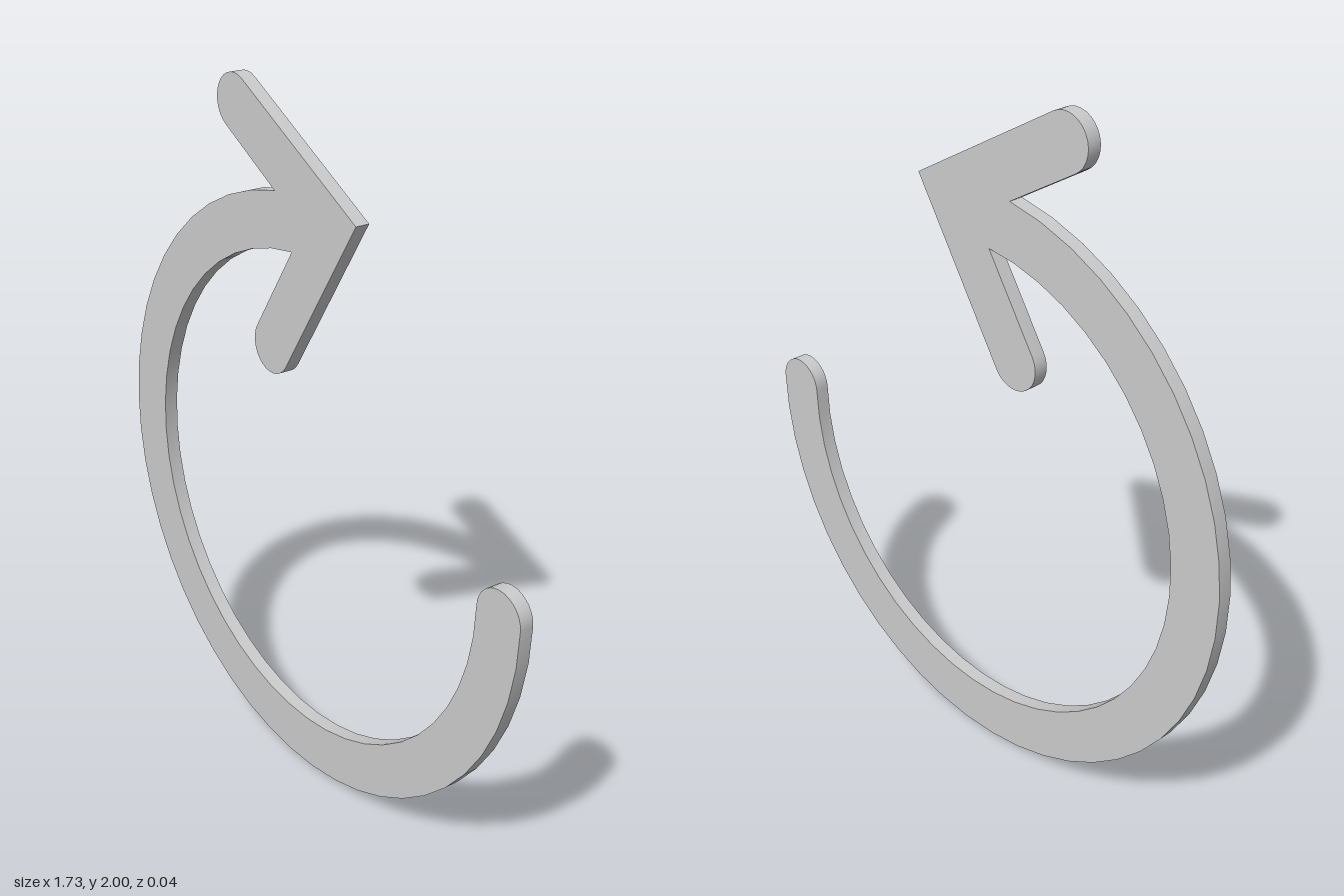
import * as THREE from 'three';
import { toCreasedNormals } from 'three/addons/utils/BufferGeometryUtils.js';

const OUTER = 0.866, INNER = 0.71;
const CENTER_Y = OUTER;
const CAP = (OUTER - INNER) / 2;
const DEPTH = 0.042;

// points along an arc, angles in degrees
function arc(x, y, r, from, to, segments) {
  return Array.from({ length: segments + 1 }, (_, i) => {
    const a = THREE.MathUtils.degToRad(from + (to - from) * i / segments);
    return new THREE.Vector2(x + r * Math.cos(a), y + r * Math.sin(a));
  });
}

// rounded end of a bar that points in the given direction
const roundEnd = (x, y, direction) => arc(x, y, CAP, direction - 90, direction + 90, 14);

export function createModel() {
  const outline = [
    // ring: outer edge, rounded tail, inner edge
    ...arc(0, CENTER_Y, OUTER, 98.2, 360, 36),
    ...roundEnd((OUTER + INNER) / 2, CENTER_Y, 90).slice(1),
    ...arc(0, CENTER_Y, INNER, 360, 94, 36).slice(1),
    // arrowhead: lower arm, tip, upper arm
    ...roundEnd(-0.145, 1.282, 237.6),
    new THREE.Vector2(0.2175, 1.709),
    ...roundEnd(-0.304, 1.922, 149.7),
  ];

  const geometry = new THREE.ExtrudeGeometry(new THREE.Shape(outline), {
    depth: DEPTH, bevelEnabled: false,
  });
  geometry.translate(0, 0, -DEPTH / 2);

  const arrow = new THREE.Mesh(
    toCreasedNormals(geometry, 0.5),
    new THREE.MeshStandardMaterial({ color: 0xcccccc }),
  );
  arrow.name = 'circularArrow';

  const group = new THREE.Group();
  group.name = 'refreshArrow';
  group.add(arrow);
  return group;
}
